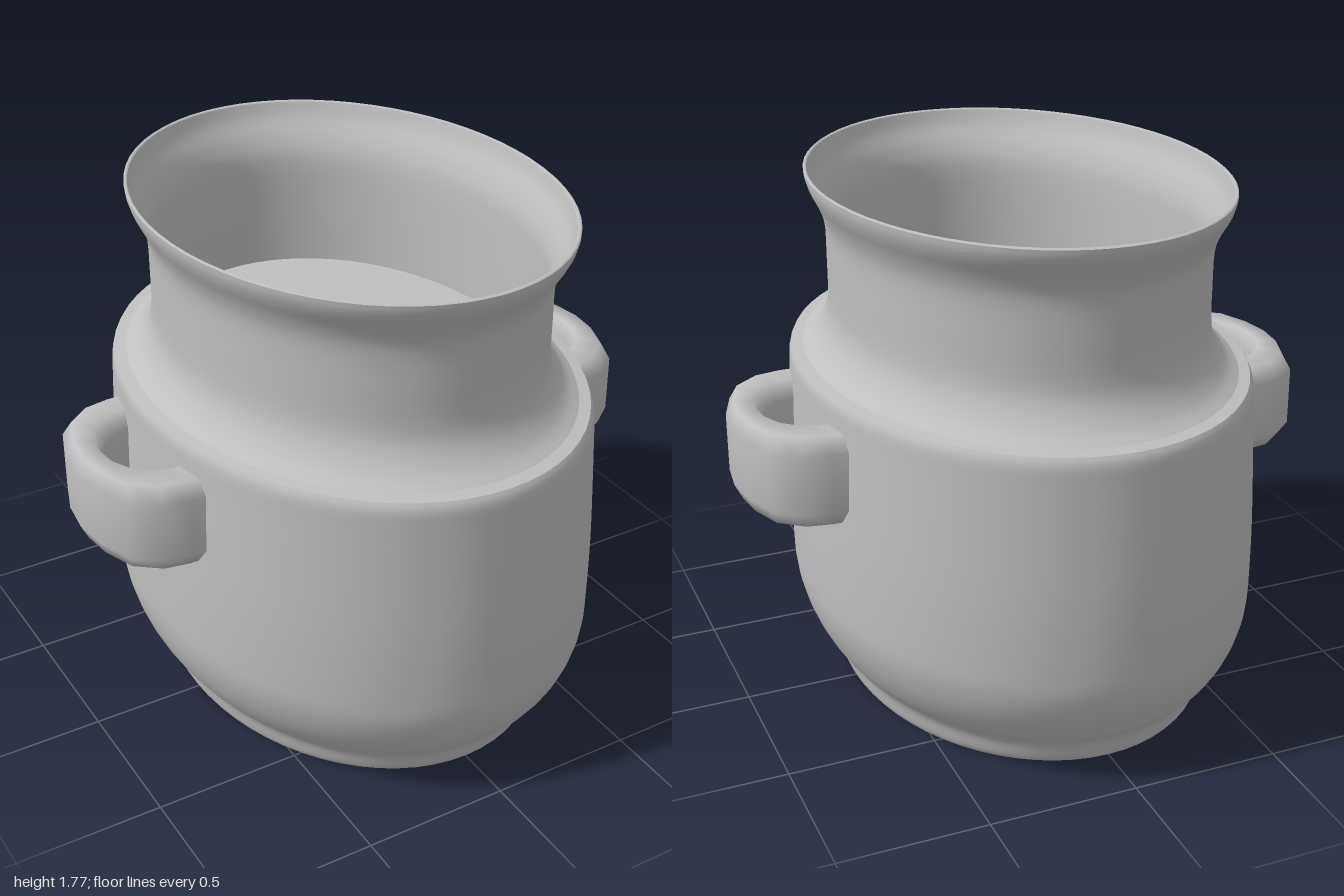
import * as THREE from 'three';

const ASPECT = 0.765; // the pot is oval: narrower in x than in z

function createModel() {
  const group = new THREE.Group();
  const clay = new THREE.MeshStandardMaterial({ color: 0xbfbfbf });
  clay.name = 'clay grey';

  const add = (name, geometry) => {
    const mesh = new THREE.Mesh(geometry, clay);
    mesh.name = name;
    group.add(mesh);
    return mesh;
  };

  // Oval turned surface through [radius, y] points, optionally smoothed
  const turned = (name, points, smooth = 0) => {
    let profile = points.map(([r, y]) => new THREE.Vector2(r, y));
    if (smooth) profile = new THREE.SplineCurve(profile).getPoints(smooth);
    const geometry = new THREE.LatheGeometry(profile, 64);
    geometry.scale(ASPECT, 1, 1);
    return add(name, geometry);
  };

  // Base, foot, belly and shoulder
  turned('underside', [[0, 0], [0.795, 0]]);
  turned('foot', [[0.795, 0], [0.81, 0.02], [0.825, 0.07], [0.845, 0.1]], 8);
  turned('belly', [[0.845, 0.1], [0.9, 0.155], [0.955, 0.24], [0.99, 0.34], [0.998, 0.45],
    [0.998, 0.65], [0.99, 0.85], [0.98, 1.05], [0.975, 1.13], [0.96, 1.16]], 36);
  turned('shoulder', [[0.96, 1.16], [0.915, 1.165]]);

  // Neck flaring out to a thin rim
  turned('neck', [[0.915, 1.165], [0.865, 1.195], [0.82, 1.25], [0.798, 1.32], [0.796, 1.45],
    [0.799, 1.58], [0.822, 1.65], [0.86, 1.71], [0.876, 1.745], [0.88, 1.77]], 36);
  turned('rim', [[0.88, 1.77], [0.872, 1.775], [0.865, 1.77]]);
  turned('innerWall', [[0.865, 1.77], [0.845, 1.72], [0.8, 1.65], [0.775, 1.57], [0.77, 1.4], [0.77, 1.19]], 24);
  turned('innerFloor', [[0.77, 1.19], [0, 1.19]]);

  // Handle: flat band swept between an outer and an inner rail, both [x, z]
  const rail = (half) => half.concat(half.slice(0, -1).reverse().map(([x, z]) => [x, -z]));
  const outer = rail([[0.66, 0.335], [0.76, 0.335], [0.85, 0.32], [0.94, 0.25], [0.985, 0.12], [1, 0]]);
  const inner = rail([[0.66, 0.175], [0.74, 0.172], [0.8, 0.155], [0.85, 0.11], [0.88, 0.055], [0.885, 0]]);
  // Chamfered section: [position across the band, height]
  const section = [[1, 0.1], [0.55, 0.155], [-0.55, 0.155], [-1, 0.1], [-1, -0.1], [-0.55, -0.155], [0.55, -0.155], [1, -0.1]];

  const handleGeometry = () => {
    const positions = [], indices = [], n = section.length;
    outer.forEach(([ox, oz], i) => {
      const [ix, iz] = inner[i];
      for (const [t, h] of section) {
        const k = (1 + t) / 2;
        positions.push(ix + (ox - ix) * k, 0.915 + h, iz + (oz - iz) * k);
      }
    });
    for (let i = 0; i < outer.length - 1; i++) {
      for (let j = 0; j < n; j++) {
        const a = i * n + j, b = i * n + (j + 1) % n;
        indices.push(a, a + n, b, b, a + n, b + n);
      }
    }
    const geometry = new THREE.BufferGeometry();
    geometry.setAttribute('position', new THREE.Float32BufferAttribute(positions, 3));
    geometry.setIndex(indices);
    geometry.computeVertexNormals();
    return geometry;
  };

  add('leftHandle', handleGeometry());
  add('rightHandle', handleGeometry()).rotation.y = Math.PI;

  return group;
}

export { createModel };
